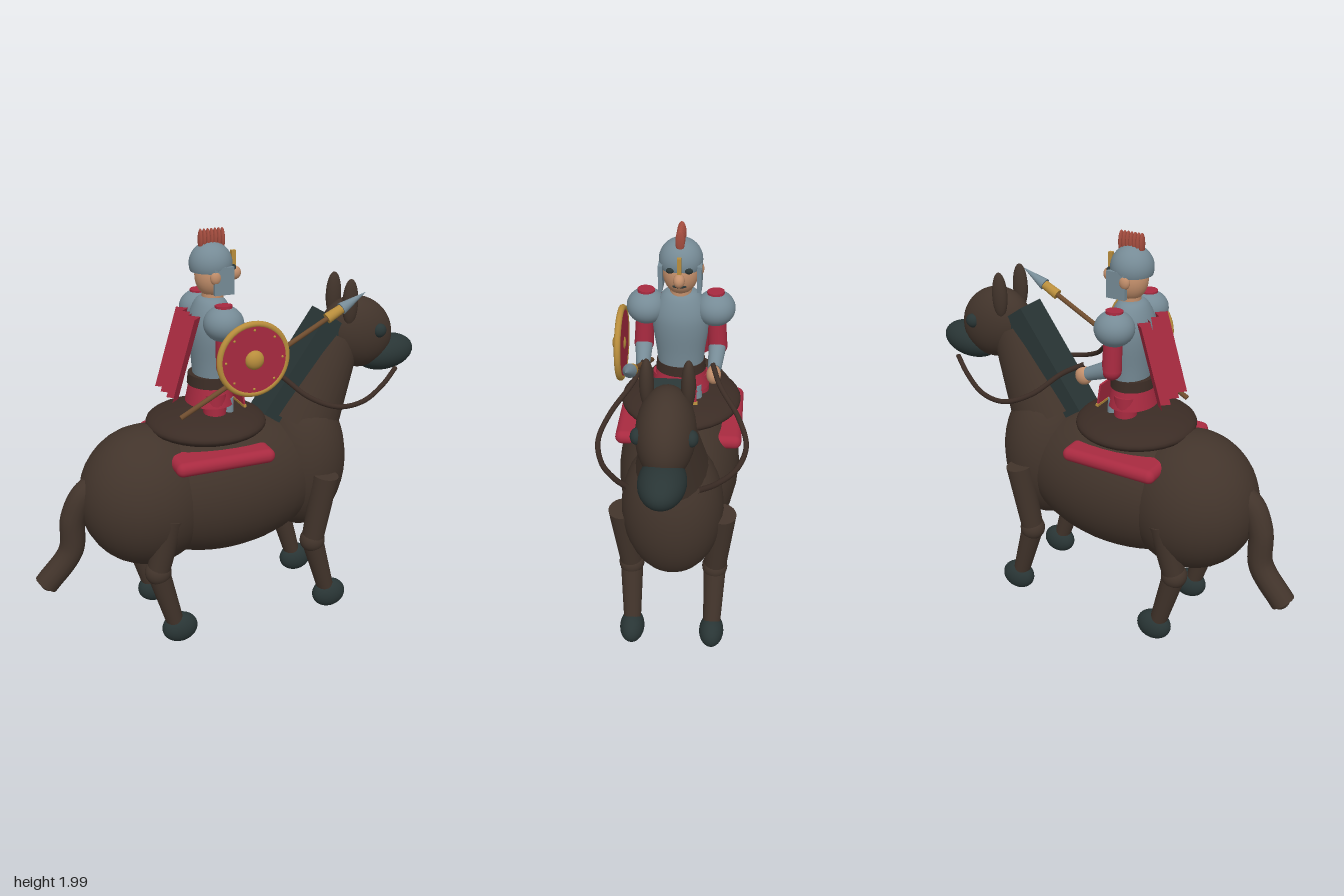
import * as THREE from 'three';
import { RoundedBoxGeometry } from 'three/addons/geometries/RoundedBoxGeometry.js';

const mat = (name, color, side = THREE.FrontSide) => {
  const m = new THREE.MeshStandardMaterial({ color, side });
  m.name = name;
  return m;
};

export function createModel() {
  const coat = mat('horse brown', 0x42342b);
  const dark = mat('dark slate', 0x293535);
  const leather = mat('leather', 0x3b2c25);
  const red = mat('red cloth', 0xa82a40, THREE.DoubleSide);
  const steel = mat('steel', 0x768b96);
  const skin = mat('skin', 0xc4906c);
  const gold = mat('gold', 0xb88d3c);
  const wood = mat('wood', 0x6e4c2e);
  const plume = mat('plume', 0xa34c3e);

  const model = new THREE.Group();
  const horse = new THREE.Group();
  horse.name = 'horse';
  const rider = new THREE.Group();
  rider.name = 'rider';
  model.add(horse, rider);

  const V = (p) => new THREE.Vector3(...p);
  const add = (parent, name, geo, material, pos = [0, 0, 0], rotZ = 0) => {
    const m = new THREE.Mesh(geo, material);
    m.name = name;
    m.position.set(...pos);
    m.rotation.z = rotZ;
    parent.add(m);
    return m;
  };
  const blob = (parent, name, material, pos, r, rotZ = 0) => {
    const m = add(parent, name, new THREE.SphereGeometry(1, 32, 20), material, pos, rotZ);
    m.scale.set(...r);
    return m;
  };
  // tapered cylinder between two points
  const limb = (parent, name, material, a, b, ra, rb) => {
    const d = V(b).sub(V(a));
    const m = add(parent, name, new THREE.CylinderGeometry(rb, ra, d.length(), 24), material);
    m.position.copy(V(a)).addScaledVector(d, 0.5);
    m.quaternion.setFromUnitVectors(new THREE.Vector3(0, 1, 0), d.normalize());
    return m;
  };
  const tube = (parent, name, material, pts, r) =>
    add(parent, name, new THREE.TubeGeometry(new THREE.CatmullRomCurve3(pts.map(V)), 40, r, 14), material);

  // Horse body
  blob(horse, 'barrel', coat, [-0.06, 0.75, 0], [0.56, 0.355, 0.3]);
  blob(horse, 'rump', coat, [-0.44, 0.74, 0], [0.33, 0.35, 0.3]);
  blob(horse, 'chest', coat, [0.38, 0.8, 0], [0.23, 0.37, 0.24]);
  limb(horse, 'neck', coat, [0.38, 1.0, 0], [0.58, 1.42, 0], 0.2, 0.115).scale.z = 0.88;
  add(horse, 'mane', new THREE.BoxGeometry(0.57, 0.13, 0.165), dark, [0.36, 1.29, 0], 0.96);
  blob(horse, 'head', coat, [0.675, 1.43, 0], [0.2, 0.175, 0.125], -0.6);
  blob(horse, 'muzzle', dark, [0.845, 1.305, 0], [0.157, 0.09, 0.1], 0.1);
  tube(horse, 'tail', coat, [[-0.64, 0.85, 0], [-0.745, 0.8, 0], [-0.805, 0.68, -0.01],
    [-0.825, 0.5, -0.02], [-0.955, 0.335, -0.03]], 0.06);
  blob(horse, 'tailTip', coat, [-0.94, 0.348, -0.03], [0.045, 0.045, 0.055]);

  // Paired horse parts
  for (const s of [1, -1]) {
    blob(horse, 'horseEye', dark, [0.745, 1.455, s * 0.11], [0.035, 0.035, 0.028]);
    blob(horse, 'horseEar', coat, [0.587, 1.605, s * 0.085], [0.04, 0.115, 0.03]);
    const legs = [['front', [0.41, 0.79], [0.365, 0.42], [0.46, 0.1], 0.475],
      ['hind', [-0.4, 0.72], [-0.46, 0.42], [-0.375, 0.1], -0.355]];
    for (const [n, top, knee, foot, hx] of legs) {
      limb(horse, n + 'UpperLeg', coat, [...top, s * 0.235], [...knee, s * 0.205], 0.066, 0.055);
      blob(horse, n + 'Knee', coat, [...knee, s * 0.205], [0.064, 0.064, 0.062]);
      limb(horse, n + 'LowerLeg', coat, [...knee, s * 0.205], [...foot, s * 0.2], 0.056, 0.042);
      blob(horse, n + 'Hoof', dark, [hx, 0.08, s * 0.2], [0.09, 0.076, 0.061]);
    }
    tube(horse, 'rein', leather, [[0.06, 1.39, s * 0.16], [0.16, 1.335, s * 0.2], [0.27, 1.24, s * 0.29],
      [0.4, 1.185, s * 0.33], [0.56, 1.175, s * 0.295], [0.72, 1.21, s * 0.21], [0.83, 1.26, s * 0.14]], 0.012);
  }

  // Saddle and blanket
  add(horse, 'blanket', new RoundedBoxGeometry(0.49, 0.07, 0.615, 4, 0.034), red, [-0.135, 0.968, 0]);
  blob(horse, 'saddle', leather, [-0.13, 1.08, 0], [0.29, 0.07, 0.295]);

  // Rider torso, belt and skirt
  const profile = [[0.085, 1.28], [0.092, 1.38], [0.105, 1.5], [0.103, 1.58], [0.08, 1.65], [0.05, 1.685], [0, 1.69]];
  const torso = new THREE.LatheGeometry(new THREE.SplineCurve(profile.map((p) => new THREE.Vector2(...p))).getPoints(24), 32);
  add(rider, 'cuirass', torso, steel, [-0.1, 0, 0]).scale.z = 1.25;
  add(rider, 'belt', new THREE.CylinderGeometry(0.1, 0.105, 0.05, 32), leather, [-0.11, 1.295, 0]).scale.z = 1.15;
  add(rider, 'skirt', new THREE.CylinderGeometry(0.095, 0.115, 0.1, 32), red, [-0.11, 1.23, 0]).scale.z = 1.2;
  const apron = new THREE.Group();
  apron.name = 'apron';
  apron.position.set(0.03, 1.21, 0);
  apron.rotation.z = 0.15;
  rider.add(apron);
  add(apron, 'apronCloth', new THREE.BoxGeometry(0.009, 0.11, 0.17), red);
  add(apron, 'apronTrim', new THREE.BoxGeometry(0.014, 0.014, 0.18), gold, [0, -0.055, 0]);

  // Arms and legs
  for (const s of [1, -1]) {
    limb(rider, 'sleeve', red, [-0.1, 1.683, s * 0.16], [-0.095, 1.4, s * 0.175], 0.04, 0.046);
    blob(rider, 'shoulderGuard', steel, [-0.1, 1.598, s * 0.16], [0.093, 0.083, 0.093]);
    blob(rider, 'elbow', red, [-0.095, 1.4, s * 0.175], [0.046, 0.046, 0.046]);
    limb(rider, 'bracer', steel, [-0.1, 1.41, s * 0.175], [0.035, 1.35, s * 0.167], 0.043, 0.032);
    blob(rider, 'hand', skin, [0.062, 1.335, s * 0.165], [0.042, 0.045, 0.034]);
    limb(rider, 'thigh', red, [-0.115, 1.24, s * 0.075], [-0.115, 1.1, s * 0.085], 0.06, 0.052);
    limb(rider, 'greave', steel, [-0.045, 1.21, s * 0.08], [-0.045, 1.1, s * 0.085], 0.024, 0.024);
  }

  // Head
  limb(rider, 'riderNeck', skin, [-0.09, 1.65, 0], [-0.09, 1.74, 0], 0.05, 0.05);
  blob(rider, 'face', skin, [-0.085, 1.785, 0], [0.088, 0.105, 0.082]);
  blob(rider, 'nose', skin, [0.018, 1.785, 0], [0.032, 0.032, 0.026]);
  blob(rider, 'mouth', dark, [-0.008, 1.745, 0], [0.012, 0.007, 0.032]);
  add(rider, 'helmet', new THREE.SphereGeometry(0.1, 32, 16, 0, Math.PI * 2, 0, Math.PI * 0.6), steel, [-0.098, 1.838, 0]);
  add(rider, 'helmetBase', new THREE.CircleGeometry(0.095, 32).rotateX(Math.PI / 2), steel, [-0.098, 1.808, 0]);
  add(rider, 'noseGuard', new THREE.BoxGeometry(0.02, 0.1, 0.018), gold, [0.012, 1.84, 0]);
  for (const s of [1, -1]) {
    blob(rider, 'riderEye', dark, [-0.006, 1.822, s * 0.042], [0.014, 0.013, 0.018]);
    blob(rider, 'riderEar', skin, [-0.107, 1.79, s * 0.085], [0.026, 0.034, 0.02]);
    add(rider, 'cheekGuard', new THREE.BoxGeometry(0.095, 0.125, 0.02), steel, [-0.068, 1.772, s * 0.088]);
  }
  for (let i = 0; i < 7; i++) {
    blob(rider, 'crestFeather', plume, [-0.146 + i * 0.0175, 1.945, 0], [0.011, 0.052, 0.021]);
  }

  // Cape with pleats that deepen toward the hem
  const cape = new THREE.PlaneGeometry(0.25, 0.38, 6, 1).toNonIndexed();
  const p = cape.attributes.position;
  for (let i = 0; i < p.count; i++) {
    const z = p.getX(i), t = 0.5 - p.getY(i) / 0.38;
    const fold = Math.round((z + 0.125) / 0.0417) % 2 ? 1 : -1;
    p.setXYZ(i, -0.2 - 0.115 * t + fold * 0.022, 1.615 - 0.38 * t, z - 0.01);
  }
  cape.computeVertexNormals();
  add(rider, 'cape', cape, red);

  // Round shield
  const shield = new THREE.Group();
  shield.name = 'shield';
  shield.position.set(0, 1.45, 0.268);
  rider.add(shield);
  add(shield, 'shieldFace', new THREE.CylinderGeometry(0.165, 0.165, 0.024, 40).rotateX(Math.PI / 2), red);
  add(shield, 'shieldRim', new THREE.TorusGeometry(0.163, 0.015, 12, 48), gold);
  blob(shield, 'shieldBoss', gold, [0, 0, 0.012], [0.045, 0.045, 0.032]);
  for (let i = 0; i < 8; i++) {
    const a = (i * Math.PI) / 4;
    blob(shield, 'stud', gold, [Math.cos(a) * 0.138, Math.sin(a) * 0.138, 0.012], [0.006, 0.006, 0.005]);
  }

  // Spear
  limb(rider, 'spearShaft', wood, [-0.315, 1.175, 0.165], [0.44, 1.575, 0.165], 0.012, 0.012);
  limb(rider, 'spearSocket', gold, [0.42, 1.565, 0.165], [0.505, 1.61, 0.165], 0.026, 0.022);
  limb(rider, 'spearTip', steel, [0.495, 1.605, 0.165], [0.62, 1.672, 0.165], 0.03, 0.001);

  return model;
}
